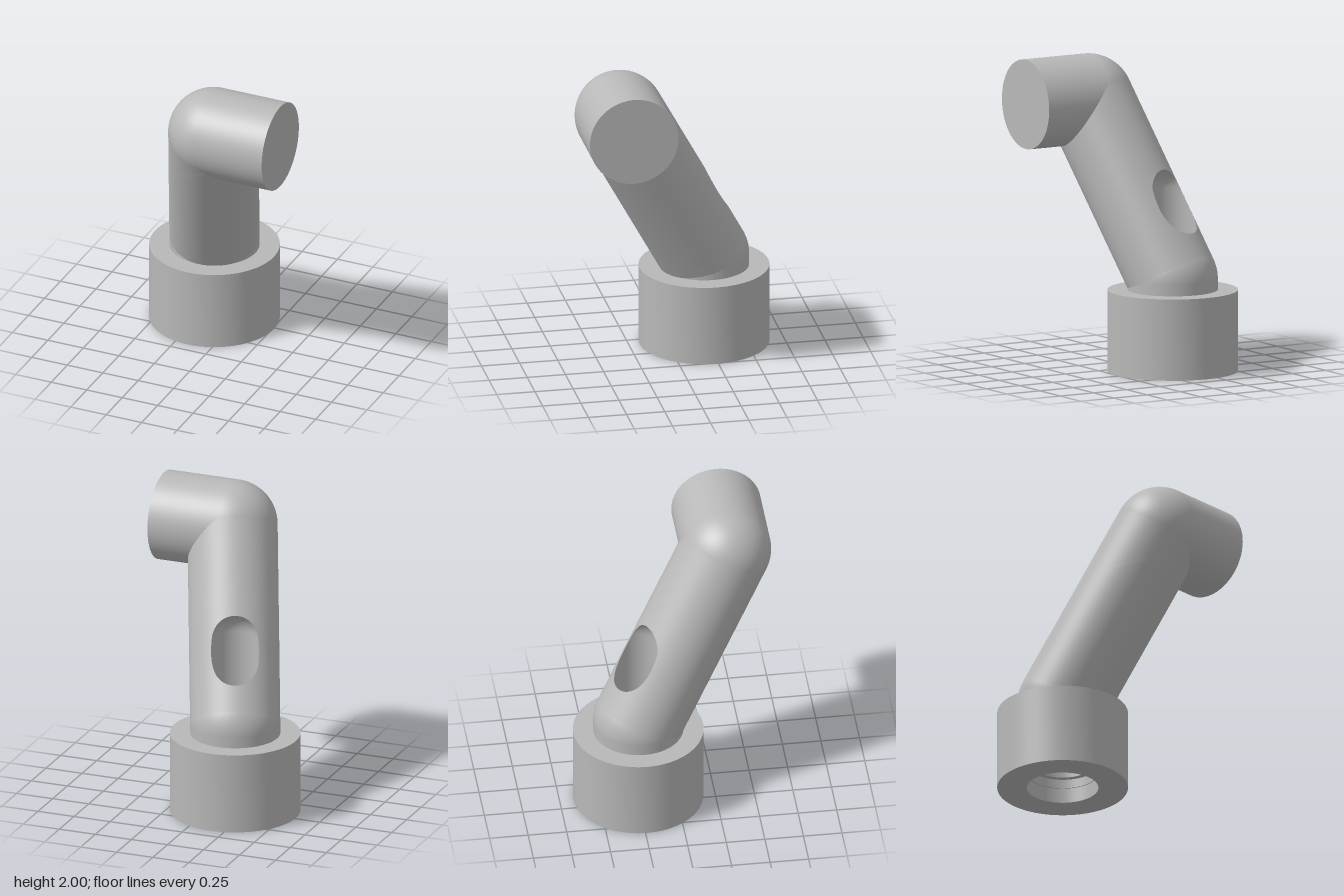
import * as THREE from 'three';
import { mergeVertices, toCreasedNormals } from 'three/addons/utils/BufferGeometryUtils.js';

const R = 0.29;                                     // pipe radius
const BORE = 0.155;                                 // drilled bore radius
const BORE_TOP = 1.165;                             // centre of the bore's round end
const BASE = new THREE.Vector3(-0.16, 0, -0.24);
const KNEE = new THREE.Vector3(-0.16, 0.6, -0.24);  // lower joint
const ELBOW = new THREE.Vector3(0.105, 1.71, 0.365); // upper joint
const END_X = 0.577;

// Frame of the slanted arm
const span = ELBOW.clone().sub(KNEE);
const L = span.length();
const axis = span.clone().normalize();
const back = new THREE.Vector3(0, 1, 0).addScaledVector(axis, -axis.y).normalize();
const side = axis.clone().cross(back);

// Smooth surface from a grid of points
function sheet(point, nu, nv) {
  const pos = [], idx = [];
  for (let j = 0; j <= nv; j++)
    for (let i = 0; i <= nu; i++) pos.push(...point(i / nu, j / nv).toArray());
  for (let j = 0; j < nv; j++)
    for (let i = 0; i < nu; i++) {
      const a = j * (nu + 1) + i, c = a + nu + 1;
      idx.push(a, c, a + 1, a + 1, c, c + 1);
    }
  let g = new THREE.BufferGeometry();
  g.setAttribute('position', new THREE.Float32BufferAttribute(pos, 3));
  g.setIndex(idx);
  g = mergeVertices(g, 1e-5);
  g.computeVertexNormals();
  return g;
}

// Largest value between lo and hi for which the test still holds
function lastInside(test, lo, hi) {
  for (let n = 0; n < 30; n++) {
    const m = (lo + hi) / 2;
    if (test(m)) lo = m; else hi = m;
  }
  return lo;
}

function armPoint(theta, t) {
  return KNEE.clone().addScaledVector(axis, t)
    .addScaledVector(back, R * Math.cos(theta))
    .addScaledVector(side, R * Math.sin(theta));
}

function insideBore(p) {
  const y = Math.max(0, p.y - BORE_TOP);
  return Math.hypot(p.x - BASE.x, y, p.z - BASE.z) < BORE;
}

function insideArm(p) {
  return p.clone().sub(KNEE).cross(axis).length() < R;
}

// Arm skin: unrolled rectangle with the bore opening, wrapped round the axis
function armGeometry() {
  const t0 = R * axis.y / Math.hypot(axis.x, axis.z);
  const corners = [[-1, 0], [1, 0], [1, 1], [-1, 1]];
  const rings = new Map();
  const ray = (u) => {
    if (!rings.has(u)) {
      const k = Math.min(3, Math.floor(u * 4 + 1e-9)), f = u * 4 - k;
      const a = corners[k], b = corners[(k + 1) % 4];
      const th = Math.PI * (a[0] + (b[0] - a[0]) * f);
      const dt = L * (a[1] + (b[1] - a[1]) * f) - t0;
      const start = lastInside((s) => insideBore(armPoint(th * s, t0 + dt * s)), 0, 1);
      rings.set(u, [th, dt, start]);
    }
    return rings.get(u);
  };
  return sheet((u, v) => {
    const [th, dt, start] = ray(u);
    const s = start + (1 - start) * v;
    return armPoint(th * s, t0 + dt * s);
  }, 192, 36);
}

// Bore wall: upright tube with a round end, trimmed where it leaves the arm
function boreGeometry() {
  const y0 = 0.3;
  const wall = (phi, s) => {
    const lat = Math.max(0, s - 1) * Math.PI / 2;
    const r = BORE * Math.cos(lat);
    const y = y0 + (BORE_TOP - y0) * Math.min(1, s) + BORE * Math.sin(lat);
    return new THREE.Vector3(BASE.x + r * Math.cos(phi), y, BASE.z - r * Math.sin(phi));
  };
  return sheet((u, v) => {
    const phi = u * Math.PI * 2;
    const end = lastInside((s) => insideArm(wall(phi, s)), 0.5, 2);
    return wall(phi, end * v);
  }, 96, 40);
}

export function createModel() {
  const model = new THREE.Group();
  model.name = 'angledPipeFitting';
  const grey = new THREE.MeshStandardMaterial({ color: 0xb8b8b8 });
  grey.name = 'plain grey';

  const add = (name, geometry, position) => {
    const mesh = new THREE.Mesh(geometry, grey);
    mesh.name = name;
    if (position) mesh.position.copy(position);
    model.add(mesh);
    return mesh;
  };

  // Collar with a stepped socket underneath
  const profile = [
    [BORE, 0.3], [0.19, 0.3], [0.19, 0.16], [0.224, 0.16], [0.224, 0.1], [0.23, 0.1],
    [0.23, 0], [0.42, 0], [0.42, 0.528], [0.27, 0.528],
  ].map(([x, y]) => new THREE.Vector2(x, y));
  add('baseCollar', toCreasedNormals(new THREE.LatheGeometry(profile, 96), 0.6), BASE);

  // Lower joint: short upright neck and a rounded shoulder
  const neck = [new THREE.Vector2(R, 0.45), new THREE.Vector2(R, KNEE.y)];
  add('neck', new THREE.LatheGeometry(neck, 96), BASE);
  const band = 0.6;
  add('lowerJoint', new THREE.SphereGeometry(R, 96, 12, 0, Math.PI * 2, Math.PI / 2 - band, band), KNEE);

  // Slanted arm and its bore
  add('slantedArm', armGeometry());
  add('bore', boreGeometry());

  // Upper joint and sideways outlet
  add('upperJoint', new THREE.SphereGeometry(R, 96, 48), ELBOW);
  const len = END_X - ELBOW.x;
  const outlet = add('outlet', new THREE.CylinderGeometry(R, R, len, 96), ELBOW);
  outlet.position.x += len / 2;
  outlet.rotation.z = -Math.PI / 2;

  return model;
}
